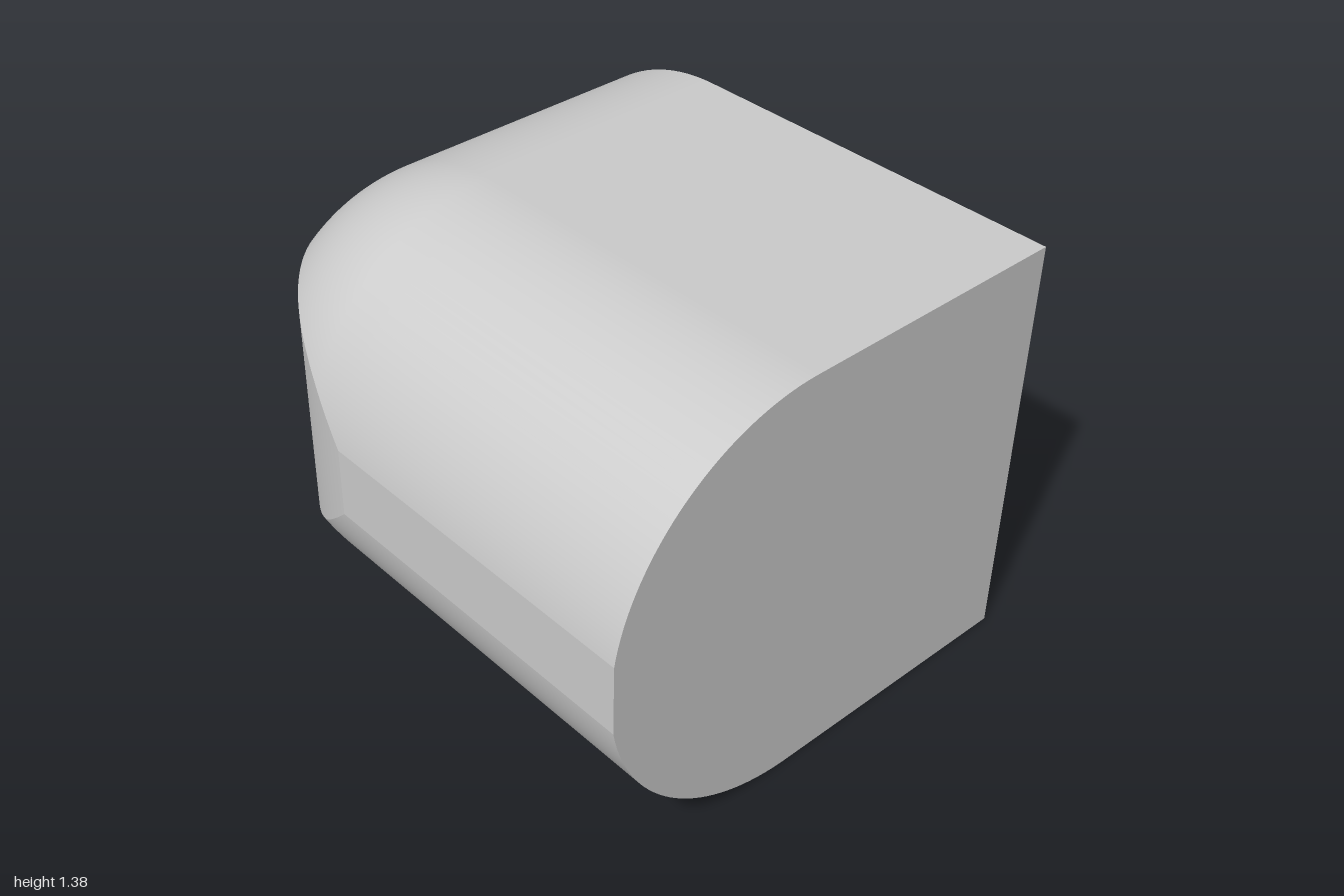
import * as THREE from 'three';

const H = 1.38, R = H / 2;            // height and edge rounding radius
const SIDE = 0.795, FRONT = 1;        // flat limits in x and z
const CX = -0.115, CZ = -0.31;        // centre of the ball-shaped corner
const OX = 0.19, OR = 1;              // vertical corner cut: centre (OX, 0), radius OR
const ARC = 32;

// Distance from a spine point to the outer wall, along the unit direction (ux, uz)
function reach(x, z, ux, uz) {
  let r = R;
  if (ux < -1e-6) r = Math.min(r, (x + SIDE) / -ux);
  if (z < 0 && x < OX) {
    const wx = x - OX, d = wx * ux + z * uz;
    r = Math.min(r, -d + Math.sqrt(d * d - wx * wx - z * z + OR * OR));
  }
  return r;
}

// Stations along the spine: down the left side, round the corner, along the back
function makeStations() {
  const list = [];
  const add = (x, z, t) => {
    const ux = -Math.cos(t), uz = -Math.sin(t);
    const r = reach(x, z, ux, uz);
    list.push({ x, z, ux, uz, r, phi: Math.asin(Math.min(1, r / R)) });
  };
  const kink = -Math.sqrt(OR * OR - (OX + SIDE) ** 2);
  add(CX, FRONT, 0);
  for (let i = 0; i < 6; i++) add(CX, kink + (CZ - kink) * i / 6, 0);
  for (let i = 0; i <= 40; i++) add(CX, CZ, (i / 40) * Math.PI / 2);
  for (let i = 1; i <= 12; i++) add(CX + (OX - CX) * i / 12, CZ, Math.PI / 2);
  add(SIDE, CZ, Math.PI / 2);
  return list;
}

// Point on the rounding at angle a from the pole; s = 1 for top, -1 for bottom
const arcPoint = (st, a, s) => new THREE.Vector3(
  st.x + st.ux * R * Math.sin(a), R + s * R * Math.cos(a), st.z + st.uz * R * Math.sin(a));

// Joins rows of points running from top to bottom
function loft(rows, normals) {
  const n = rows[0].length, index = [];
  for (let i = 0; i < rows.length - 1; i++) {
    for (let j = 0; j < n - 1; j++) {
      const a = i * n + j, b = a + n;
      index.push(a, b, a + 1, b, b + 1, a + 1);
    }
  }
  const g = new THREE.BufferGeometry().setFromPoints(rows.flat());
  g.setIndex(index);
  if (normals) {
    g.setAttribute('normal', new THREE.Float32BufferAttribute(normals.flatMap(v => v.toArray()), 3));
  } else g.computeVertexNormals();
  return g;
}

// Flat convex face, corners counter-clockwise from outside
function face(points) {
  const index = [];
  for (let i = 1; i < points.length - 1; i++) index.push(0, i, i + 1);
  const g = new THREE.BufferGeometry().setFromPoints(points);
  g.setIndex(index);
  g.computeVertexNormals();
  return g;
}

export function createModel() {
  const group = new THREE.Group();
  const material = new THREE.MeshStandardMaterial({ color: 0xcccccc });
  const add = (name, geometry) => {
    const mesh = new THREE.Mesh(geometry, material);
    mesh.name = name;
    group.add(mesh);
  };
  const v = (x, y, z) => new THREE.Vector3(x, y, z);
  const stations = makeStations();

  // Rounded upper and lower shoulders
  const angles = (st, s) => Array.from({ length: ARC + 1 },
    (_, j) => st.phi * (s > 0 ? j : ARC - j) / ARC);
  const arcRow = (st, s) => angles(st, s).map(a => arcPoint(st, a, s));
  for (const s of [1, -1]) {
    const normals = stations.flatMap(st => angles(st, s).map(
      a => v(st.ux * Math.sin(a), s * Math.cos(a), st.uz * Math.sin(a))));
    add(s > 0 ? 'upperShoulder' : 'lowerShoulder', loft(stations.map(st => arcRow(st, s)), normals));
  }

  // Upright walls: flat side strip and curved corner cut
  const wallRow = st => [arcPoint(st, st.phi, 1), arcPoint(st, st.phi, -1)];
  add('sideStrip', loft(stations.slice(0, 2).map(wallRow)));
  add('cornerCut', loft(stations.slice(1, -1).map(wallRow)));

  // Flat faces
  const outline = st => [...arcRow(st, 1), ...arcRow(st, -1)];
  add('frontFace', face([v(SIDE, H, FRONT), ...outline(stations[0]), v(SIDE, 0, FRONT)]));
  add('endFace', face([v(SIDE, 0, FRONT), ...outline(stations[stations.length - 1]).reverse(),
    v(SIDE, H, FRONT)]));
  const plan = y => [v(CX, y, FRONT), v(SIDE, y, FRONT), v(SIDE, y, CZ), v(CX, y, CZ)];
  add('topFace', face(plan(H)));
  add('bottomFace', face(plan(0).reverse()));
  return group;
}
